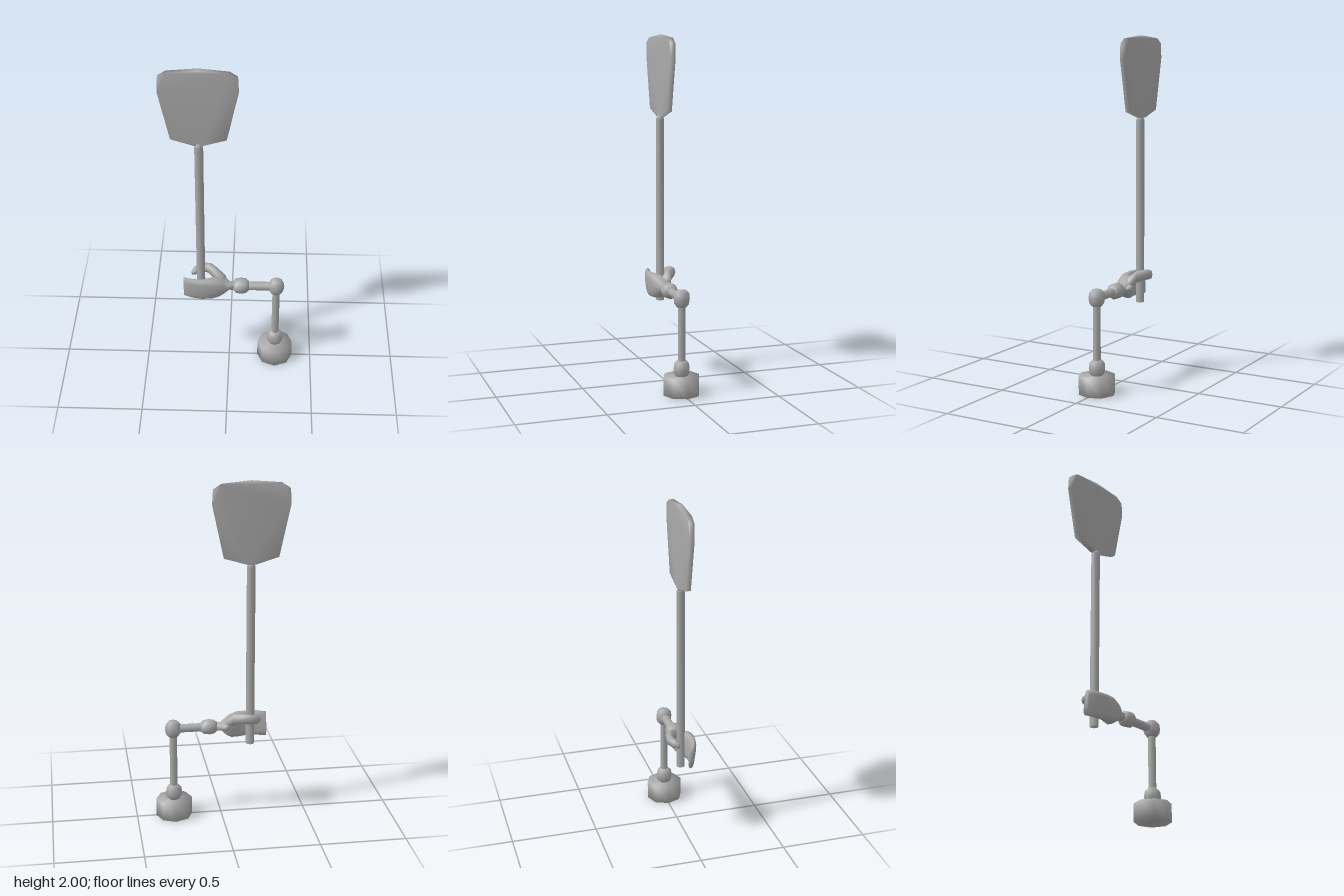
import * as THREE from 'three';
import { mergeVertices } from 'three/addons/utils/BufferGeometryUtils.js';

const metal = new THREE.MeshStandardMaterial({ color: 0xaaaaaa });
metal.name = 'grey metal';

// Weld corners so that normals run smoothly over the edges
function soften(geometry) {
  geometry.deleteAttribute('normal');
  geometry.deleteAttribute('uv');
  const welded = mergeVertices(geometry, 1e-4);
  welded.computeVertexNormals();
  return welded;
}

// Eight-sided turned part from [radius, height] pairs
function turned(profile) {
  return soften(new THREE.LatheGeometry(profile.map(([r, y]) => new THREE.Vector2(r, y)), 8));
}

// Closed skin over sections [x, y, z, half height, half depth, yaw], running towards +x
function loft(sections, sides, power, lean = 0) {
  const positions = [], index = [];
  const soft = (v) => Math.sign(v) * Math.abs(v) ** power;
  for (const [x, y, z, h, d, yaw = 0] of sections) {
    for (let i = 0; i < sides; i++) {
      const a = (i / sides) * Math.PI * 2;
      const v = soft(Math.cos(a)) * h, w = soft(Math.sin(a)) * d + lean * v;
      positions.push(x - Math.sin(yaw) * w, y + v, z + Math.cos(yaw) * w);
    }
  }
  const last = sections.length - 1;
  const first = positions.length / 3;
  positions.push(...sections[0].slice(0, 3), ...sections[last].slice(0, 3));
  for (let i = 0; i < sides; i++) {
    const j = (i + 1) % sides;
    for (let s = 0; s < last; s++) {
      const a = s * sides + i, b = s * sides + j;
      index.push(a, b, a + sides, b, b + sides, a + sides);
    }
    index.push(first, j, i, first + 1, last * sides + i, last * sides + j);
  }
  const geometry = new THREE.BufferGeometry();
  geometry.setAttribute('position', new THREE.Float32BufferAttribute(positions, 3));
  geometry.setIndex(index);
  geometry.computeVertexNormals();
  return geometry;
}

export function createModel() {
  const model = new THREE.Group();
  model.name = 'armWithPaddle';
  const add = (name, geometry, x = 0, y = 0, z = 0) => {
    const mesh = new THREE.Mesh(geometry, metal);
    mesh.name = name;
    mesh.position.set(x, y, z);
    model.add(mesh);
    return mesh;
  };

  // Base and upright post
  add('base', turned([[0, 0], [0.106, 0], [0.106, 0.106], [0, 0.106]]), 0.28);
  add('upperArm', new THREE.CylinderGeometry(0.022, 0.022, 0.36, 8), 0.28, 0.36);

  // Ball joints
  const ball = [[0, -0.05], [0.028, -0.048], [0.044, -0.028], [0.048, 0], [0.044, 0.028], [0.028, 0.046], [0, 0.048]];
  add('shoulderJoint', turned(ball), 0.28, 0.147);
  add('elbowJoint', turned(ball), 0.28, 0.55);
  add('wristJoint', turned(ball), 0.07, 0.55).rotation.z = Math.PI / 2;

  // Forearm
  add('forearm', new THREE.CylinderGeometry(0.026, 0.026, 0.16, 8), 0.17, 0.55).rotation.z = Math.PI / 2;

  // Palm and joined fingers in front of the handle
  add('palm', loft([
    [-0.27, 0.547, 0.012, 0.073, 0.018],
    [-0.22, 0.547, 0.031, 0.075, 0.019],
    [-0.16, 0.547, 0.038, 0.076, 0.024],
    [-0.1, 0.548, 0.024, 0.074, 0.04],
    [-0.06, 0.547, 0.008, 0.063, 0.052],
    [-0.03, 0.547, 0, 0.045, 0.048],
    [0, 0.55, 0, 0.02, 0.03],
    [0.035, 0.55, 0, 0.025, 0.027],
  ], 12, 0.7, 0.1));

  // Thumb hooked round the back of the handle
  add('thumb', loft([
    [-0.222, 0.6, -0.05, 0.015, 0.01, -0.7],
    [-0.2, 0.606, -0.068, 0.026, 0.02, -0.6],
    [-0.165, 0.615, -0.086, 0.03, 0.023, -0.25],
    [-0.12, 0.619, -0.078, 0.031, 0.025, 0.45],
    [-0.08, 0.606, -0.043, 0.034, 0.026, 0.7],
    [-0.035, 0.573, -0.015, 0.035, 0.03, 0.6],
  ], 8, 0.85));

  // Heel of the thumb
  add('thumbHeel', loft([
    [-0.055, 0.555, -0.022, 0.03, 0.024],
    [-0.02, 0.552, -0.036, 0.022, 0.022],
    [0, 0.55, -0.025, 0.01, 0.016],
  ], 8, 1));

  // Paddle handle
  add('handle', turned([[0, 0.445], [0.025, 0.445], [0.025, 1.515], [0.015, 1.54], [0, 1.54]]), -0.169, 0, -0.026);

  // Paddle blade, drawn as one half and mirrored
  const half = [[0.022, 1.53], [0.155, 1.57], [0.219, 1.87], [0.214, 1.955], [0.17, 1.984], [0, 2]];
  const outline = half.concat(half.slice(0, -1).reverse().map(([x, y]) => [-x, y]));
  const shape = new THREE.Shape(outline.map(([x, y]) => new THREE.Vector2(x, y)));
  const blade = new THREE.ExtrudeGeometry(shape, { depth: 0.028, bevelEnabled: false });
  add('blade', soften(blade), -0.169, 0, -0.044);

  return model;
}
